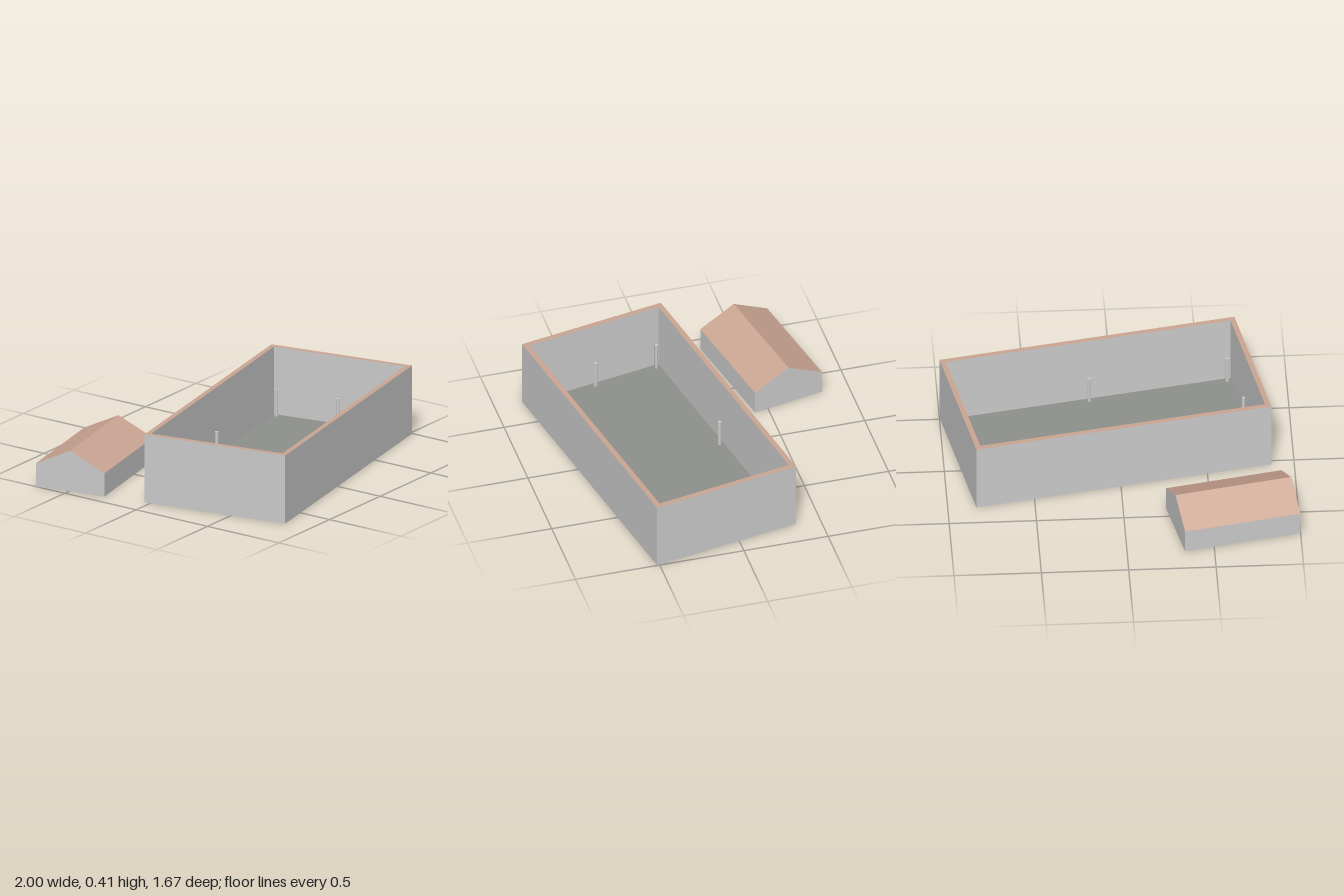
import * as THREE from 'three';

const paint = (color) => new THREE.MeshStandardMaterial({ color, flatShading: true, side: THREE.DoubleSide });
const grey = paint(0xcccccc);
const clay = paint(0xcca693);
const slate = paint(0x8e908b);

// Adds a named mesh to a parent
function add(parent, name, geometry, material, x = 0, y = 0, z = 0) {
  const mesh = new THREE.Mesh(geometry, material);
  mesh.name = name;
  mesh.position.set(x, y, z);
  parent.add(mesh);
  return mesh;
}

// Flat polygon from [x, y] pairs
const polygon = (points) => new THREE.Shape(points.map(([x, y]) => new THREE.Vector2(x, y)));
const rectangle = (l, w) => polygon([[-l / 2, -w / 2], [l / 2, -w / 2], [l / 2, w / 2], [-l / 2, w / 2]]);

// Four upright sheets around a rectangle, open above and below
function wallRing(parent, name, l, w, y0, y1, inward) {
  const h = y1 - y0;
  for (let i = 0; i < 4; i++) {
    const a = (i * Math.PI) / 2;
    const out = (i % 2 ? l : w) / 2;
    const wall = add(parent, name, new THREE.PlaneGeometry(i % 2 ? w : l, h), grey,
      Math.sin(a) * out, y0 + h / 2, Math.cos(a) * out);
    wall.rotation.y = a + (inward ? Math.PI : 0);
  }
}

// Open hall: hollow double walls, coping, floor and posts
function createHall() {
  const hall = new THREE.Group();
  hall.name = 'hall';
  const L = 1.735, W = 0.885, H = 0.412, T = 0.03, floorY = 0.004;
  wallRing(hall, 'outerWall', L, W, 0, H, false);
  wallRing(hall, 'innerWall', L - 2 * T, W - 2 * T, floorY, H, true);

  const rim = rectangle(L, W);
  rim.holes.push(rectangle(L - 2 * T, W - 2 * T));
  add(hall, 'coping', new THREE.ShapeGeometry(rim).rotateX(-Math.PI / 2), clay, 0, H, 0);
  add(hall, 'floor', new THREE.PlaneGeometry(L - 2 * T, W - 2 * T).rotateX(-Math.PI / 2), slate, 0, floorY, 0);

  const postHeight = 0.165;
  const post = new THREE.CylinderGeometry(0.01, 0.01, postHeight, 8);
  for (const i of [-1, 0, 1]) {
    for (const k of [-1, 0, 1]) {
      if (i || k) add(hall, 'post', post, grey, i * (L / 2 - 0.055), postHeight / 2, k * (W / 2 - 0.055));
    }
  }
  return hall;
}

// Small gabled house, hollow and open below
function createHouse() {
  const house = new THREE.Group();
  house.name = 'house';
  const L = 0.682, W = 0.43, eave = 0.14, ridge = 0.246;
  const slope = Math.hypot(W / 2, ridge - eave);
  const pitch = Math.atan2(ridge - eave, W / 2);
  const gable = new THREE.ShapeGeometry(
    polygon([[-W / 2, 0], [W / 2, 0], [W / 2, eave], [0, ridge], [-W / 2, eave]]));

  for (const s of [1, -1]) {
    add(house, 'gableWall', gable, grey, (s * L) / 2, 0, 0).rotation.y = (s * Math.PI) / 2;
    const side = add(house, 'sideWall', new THREE.PlaneGeometry(L, eave), grey, 0, eave / 2, (s * W) / 2);
    side.rotation.y = s > 0 ? 0 : Math.PI;
    const roof = new THREE.PlaneGeometry(L, slope).rotateX(-Math.PI / 2 + s * pitch);
    add(house, 'roofSlope', roof, clay, 0, (eave + ridge) / 2, (s * W) / 4);
  }
  return house;
}

export function createModel() {
  const model = new THREE.Group();
  model.name = 'buildings';

  const hall = createHall();
  hall.position.set(0.065, 0, 0.24);
  hall.rotation.y = 0.1855;

  const house = createHouse();
  house.position.set(-0.622, 0, -0.561);
  house.rotation.y = 0.202;

  model.add(hall, house);
  return model;
}
